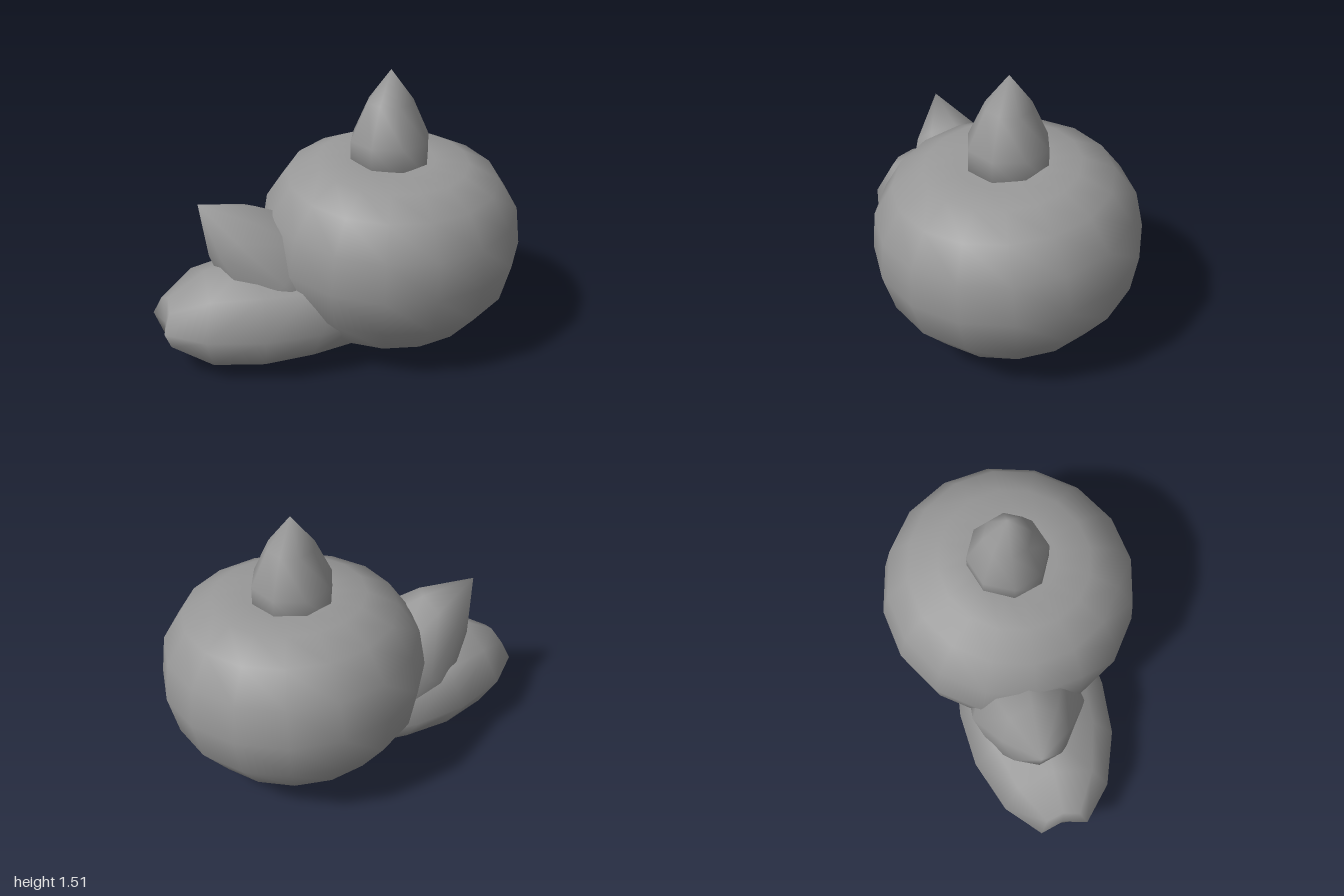
import * as THREE from 'three';
import { mergeVertices } from 'three/addons/utils/BufferGeometryUtils.js';

const material = new THREE.MeshStandardMaterial({ color: 0x989898 });

// Smooth low-poly turned solid; profile runs from bottom to top.
// An optional rule moves each vertex before the normals are made.
function turned(name, profile, sides, rule) {
  const points = profile.map(([r, y]) => new THREE.Vector2(r, y));
  const lathe = new THREE.LatheGeometry(points, sides);
  if (rule) {
    const p = lathe.attributes.position;
    const v = new THREE.Vector3();
    for (let i = 0; i < p.count; i++) {
      rule(v.fromBufferAttribute(p, i));
      p.setXYZ(i, v.x, v.y, v.z);
    }
  }
  // Weld the seam and poles so the shading is smooth all round
  lathe.deleteAttribute('uv');
  lathe.deleteAttribute('normal');
  const geometry = mergeVertices(lathe, 1e-4);
  geometry.computeVertexNormals();
  const mesh = new THREE.Mesh(geometry, material);
  mesh.name = name;
  return mesh;
}

// Pointed cone with bulging sides, tip at the origin
function spike(name, size) {
  const mesh = turned(name, [[0, -0.6], [0.215, -0.55], [0.215, -0.37], [0.125, -0.17], [0, 0]], 8);
  mesh.scale.setScalar(size);
  return mesh;
}

export function createModel() {
  const group = new THREE.Group();

  // Squashed round body with a slightly dented top
  const body = turned('body', [
    [0, -0.572], [0.27, -0.53], [0.498, -0.402], [0.648, -0.214], [0.697, 0],
    [0.668, 0.207], [0.56, 0.372], [0.4, 0.454], [0.225, 0.466], [0, 0.45],
  ], 16);
  body.position.set(0.303, 0.574, 0);
  body.rotation.set(0.08, 0.03, 0);
  group.add(body);

  // Spike on top of the body
  const topSpike = spike('topSpike', 1);
  topSpike.position.set(0.295, 1.51, 0);
  group.add(topSpike);

  // Larger spike leaning out of the side
  const sideSpike = spike('sideSpike', 1.42);
  sideSpike.position.set(-0.735, 0.885, 0);
  sideSpike.rotation.z = Math.PI / 4;
  group.add(sideSpike);

  // Long flattened lobe below it, blunter in height than in width, with a dented end
  const lobe = turned('lobe', [
    [0, -0.6], [0.38, -0.55], [0.71, -0.42], [0.93, -0.23], [1, 0],
    [0.95, 0.29], [0.7, 0.57], [0.31, 0.745], [0, 0.71],
  ], 8, (v) => {
    const t = Math.max(0, v.y / 0.745);
    v.x *= 1 + 0.75 * t * t;
    v.y -= 0.1 * t * Math.abs(v.x);
  });
  lobe.scale.set(0.257, 1, 0.41);
  lobe.position.set(-0.24, 0.283, 0.04);
  lobe.rotation.set(0, 0.07, Math.PI / 2);
  group.add(lobe);

  return group;
}
